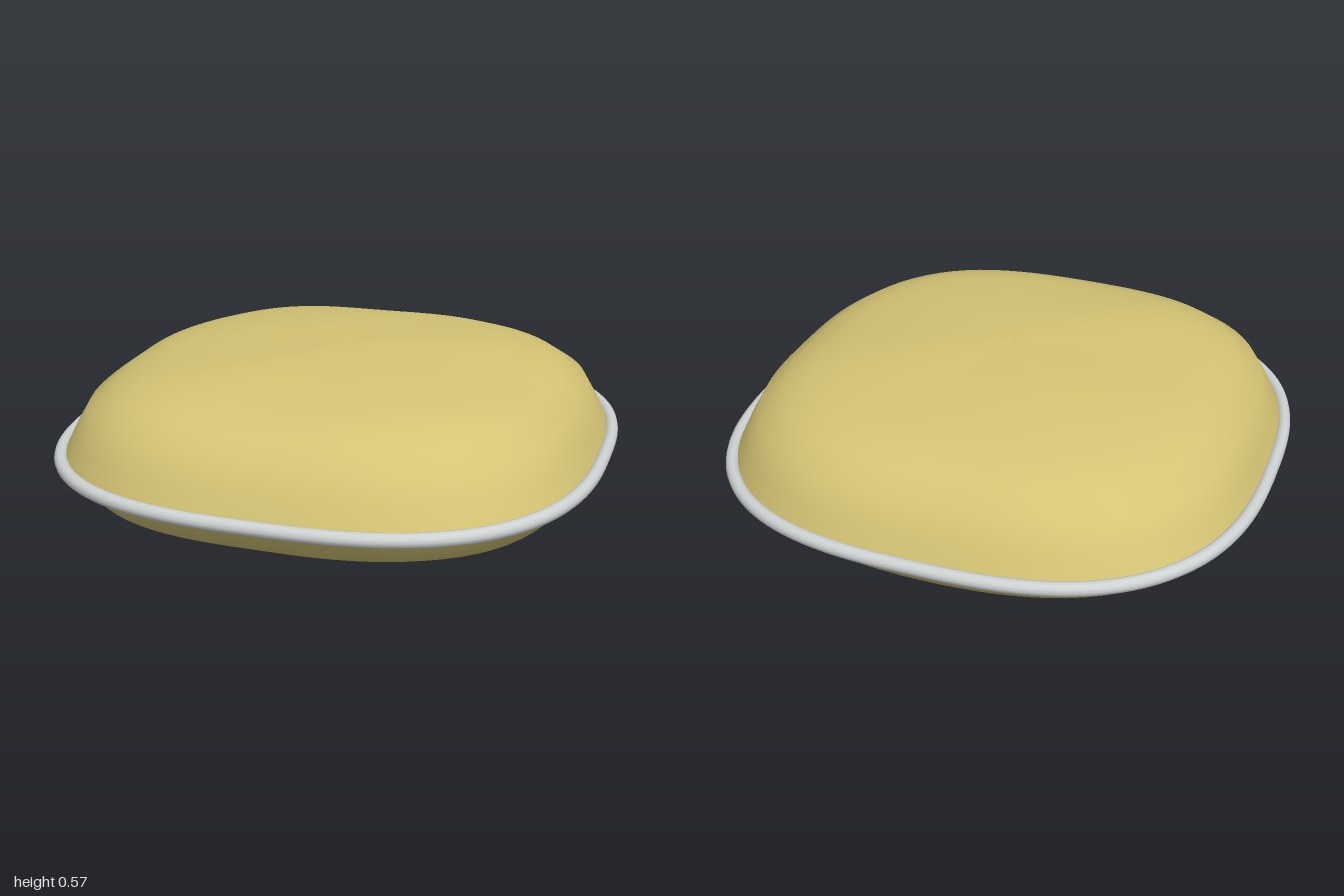
import * as THREE from 'three';

const SEGMENTS = 96;
const SEAM_Y = 0.23;

// Rounded-square outline: a superellipse in polar form
function outline(angle, size, y) {
  const n = 2.7;
  const c = Math.cos(angle), s = Math.sin(angle);
  const r = size * Math.pow(Math.abs(c) ** n + Math.abs(s) ** n, -1 / n);
  return new THREE.Vector3(c * r, y, s * r);
}

// Soft, shallow creases in the fabric, fading out toward the seam
function crease(x, z, size) {
  const wave = Math.sin(5 * x + 9 * z + Math.sin(4 * x)) + Math.sin(7 * x - 4 * z + 1.3);
  return 0.003 * wave * Math.max(0, 1 - size ** 6);
}

// One padded half, lofted from [size, height] rings
function paddedHalf(profile, material, name) {
  const curve = profile.map(([size, y]) => new THREE.Vector2(size, y));
  const positions = [], indices = [];
  for (const ring of curve) {
    for (let j = 0; j < SEGMENTS; j++) {
      const p = outline((j / SEGMENTS) * Math.PI * 2, ring.x, ring.y);
      positions.push(p.x, Math.max(0, p.y + crease(p.x, p.z, ring.x)), p.z);
    }
  }
  for (let i = 0; i < curve.length - 1; i++) {
    for (let j = 0; j < SEGMENTS; j++) {
      const k = (j + 1) % SEGMENTS;
      const a = i * SEGMENTS + j, b = i * SEGMENTS + k;
      const c = a + SEGMENTS, d = b + SEGMENTS;
      indices.push(a, b, c, b, d, c);
    }
  }
  const geometry = new THREE.BufferGeometry();
  geometry.setAttribute('position', new THREE.Float32BufferAttribute(positions, 3));
  geometry.setIndex(indices);
  geometry.computeVertexNormals();
  const mesh = new THREE.Mesh(geometry, material);
  mesh.name = name;
  return mesh;
}

export function createModel() {
  const fabric = new THREE.MeshStandardMaterial({ color: 0xd4c474 });
  fabric.name = 'khaki fabric';
  const trim = new THREE.MeshStandardMaterial({ color: 0xcfd2d2 });
  trim.name = 'pale grey piping';

  const group = new THREE.Group();
  group.name = 'cushion';

  // Plump upper half, from the middle out to the seam
  const top = [
    [0.001, 0.568], [0.2, 0.565], [0.4, 0.552], [0.6, 0.523], [0.7, 0.5],
    [0.79, 0.465], [0.875, 0.405], [0.925, 0.315], [0.965, SEAM_Y],
  ];
  group.add(paddedHalf(top, fabric, 'upperCushion'));

  // Shallower lower half, from the seam in to the middle
  const bottom = [
    [0.965, SEAM_Y], [0.92, 0.165], [0.875, 0.108], [0.79, 0.073], [0.7, 0.056],
    [0.6, 0.042], [0.4, 0.02], [0.2, 0.008], [0.001, 0.004],
  ];
  group.add(paddedHalf(bottom, fabric, 'lowerCushion'));

  // Round piping along the seam
  const points = [];
  for (let j = 0; j < 64; j++) points.push(outline((j / 64) * Math.PI * 2, 0.975, SEAM_Y));
  const path = new THREE.CatmullRomCurve3(points, true);
  const piping = new THREE.Mesh(new THREE.TubeGeometry(path, 160, 0.025, 12, true), trim);
  piping.name = 'piping';
  group.add(piping);

  return group;
}
